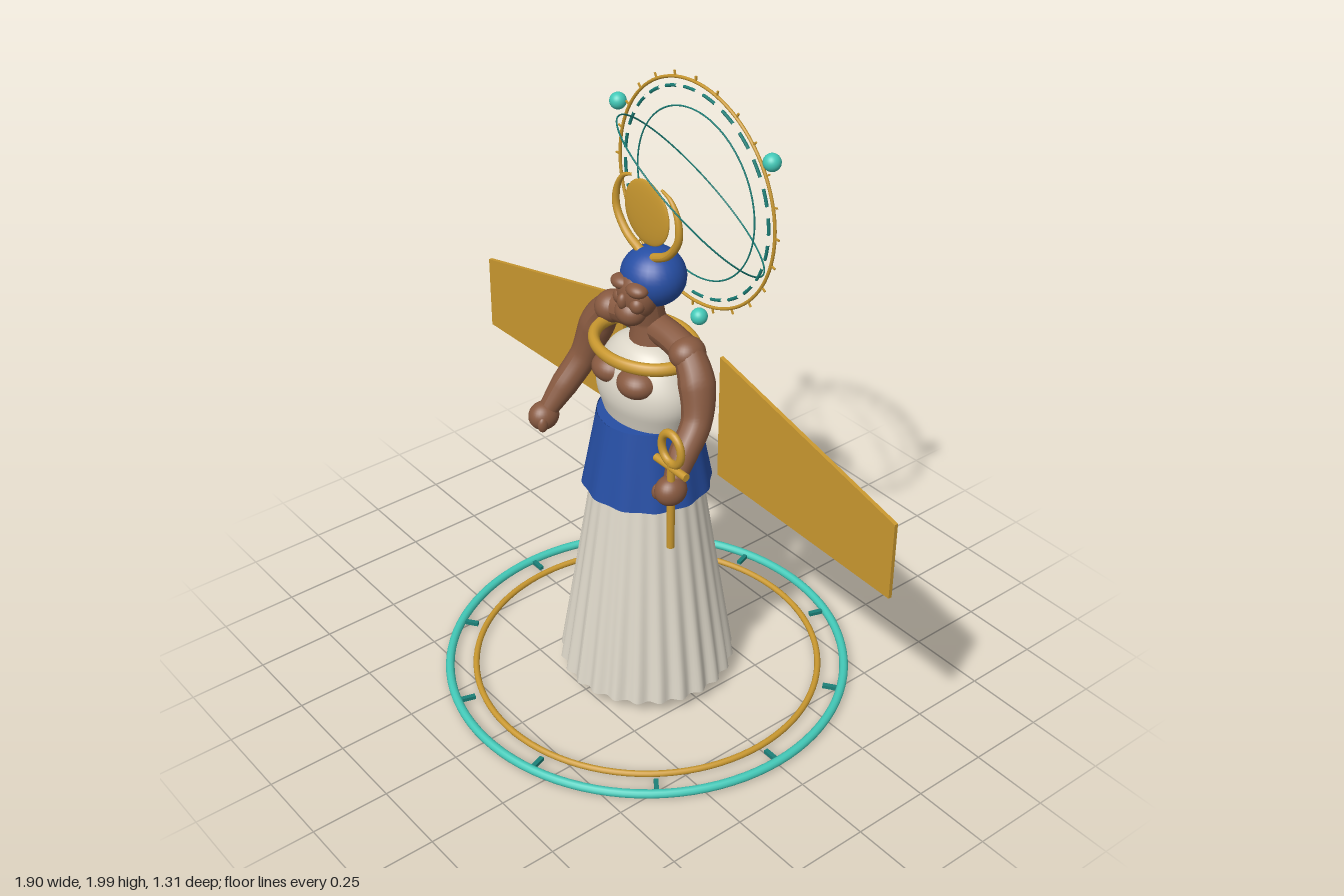
import * as THREE from 'three';

const mat = (name, color, side = THREE.FrontSide) => {
  const m = new THREE.MeshStandardMaterial({ color, side });
  m.name = name;
  return m;
};

export function createModel() {
  const gold = mat('gold', 0xc9982f);
  const blue = mat('royal blue', 0x264ea3, THREE.DoubleSide);
  const teal = mat('turquoise', 0x43c9b8);
  const deepTeal = mat('deep teal', 0x1c8078);
  const linen = mat('linen', 0xdcd6c8, THREE.DoubleSide);
  const skin = mat('skin', 0x875940);

  const root = new THREE.Group();
  root.name = 'wingedFigure';
  const V = (x, y, z) => new THREE.Vector3(x, y, z);

  const add = (name, geo, material, pos = [0, 0, 0], parent = root) => {
    const m = new THREE.Mesh(geo, material);
    m.name = name;
    m.position.set(...pos);
    parent.add(m);
    return m;
  };
  const group = (name, pos = [0, 0, 0]) => {
    const g = new THREE.Group();
    g.name = name;
    g.position.set(...pos);
    root.add(g);
    return g;
  };
  const ball = (name, material, pos, size, parent) => {
    const m = add(name, new THREE.SphereGeometry(1, 28, 20), material, pos, parent);
    m.scale.set(...size);
    return m;
  };

  // Tube whose radius follows a list of values along the path
  const limb = (name, points, radii, material, parent) => {
    const n = 32, sides = 16;
    const curve = new THREE.CatmullRomCurve3(points.map(p => V(...p)));
    const geo = new THREE.TubeGeometry(curve, n, 1, sides);
    const p = geo.attributes.position;
    for (let i = 0; i <= n; i++) {
      const c = curve.getPointAt(i / n);
      const t = (i / n) * (radii.length - 1);
      const k = Math.min(Math.floor(t), radii.length - 2);
      const r = THREE.MathUtils.lerp(radii[k], radii[k + 1], t - k);
      for (let j = 0; j <= sides; j++) {
        const id = i * (sides + 1) + j;
        const v = V(0, 0, 0).fromBufferAttribute(p, id).sub(c).multiplyScalar(r).add(c);
        p.setXYZ(id, v.x, v.y, v.z);
      }
    }
    geo.computeVertexNormals();
    return add(name, geo, material, [0, 0, 0], parent);
  };

  // Open cone with folds that deepen towards the hem
  const pleated = (name, rTop, rBottom, yTop, yBottom, folds, depth, material) => {
    const h = yTop - yBottom;
    const geo = new THREE.CylinderGeometry(rTop, rBottom, h, folds * 8, 10, true);
    const p = geo.attributes.position;
    for (let i = 0; i < p.count; i++) {
      const x = p.getX(i), y = p.getY(i), z = p.getZ(i);
      const down = 0.5 - y / h;
      const wave = Math.cos(folds * Math.atan2(x, z));
      const s = 1 + depth * (0.25 + 0.75 * down) * wave;
      p.setXYZ(i, x * s, y, z * s);
    }
    geo.computeVertexNormals();
    return add(name, geo, material, [0, (yTop + yBottom) / 2, 0]);
  };

  // Ground rings and spokes
  const base = group('groundRings', [0, 0.02, 0]);
  add('outerGroundRing', new THREE.TorusGeometry(0.64, 0.014, 12, 96), teal, [0, 0, 0], base).rotation.x = Math.PI / 2;
  add('innerGroundRing', new THREE.TorusGeometry(0.555, 0.01, 12, 96), gold, [0, 0, 0], base).rotation.x = Math.PI / 2;
  for (let i = 0; i < 10; i++) {
    const a = i * Math.PI / 5;
    const s = add('groundSpoke', new THREE.BoxGeometry(0.055, 0.012, 0.014), deepTeal,
      [Math.cos(a) * 0.61, 0, Math.sin(a) * 0.61], base);
    s.rotation.y = -a;
  }

  // Dress
  pleated('skirt', 0.165, 0.272, 0.77, 0.05, 24, 0.03, linen);
  pleated('waistWrap', 0.152, 0.198, 0.98, 0.73, 12, 0.018, blue);
  const profile = [[0.147, 0.95], [0.165, 1.0], [0.181, 1.05], [0.178, 1.1], [0.155, 1.15],
    [0.125, 1.19], [0.08, 1.22], [0, 1.235]].map(p => new THREE.Vector2(...p));
  add('bodice', new THREE.LatheGeometry(new THREE.SplineCurve(profile).getPoints(24), 48), linen).scale.z = 0.72;
  const waist = add('waistTop', new THREE.CircleGeometry(0.15, 48), blue, [0, 0.978, 0]);
  waist.rotation.x = -Math.PI / 2;

  // Chest, shoulders and neck
  for (const s of [1, -1]) ball('chest', skin, [s * 0.06, 1.13, 0.082], [0.064, 0.046, 0.062]);
  limb('shoulders', [[-0.18, 1.25, -0.01], [-0.08, 1.265, -0.015], [0.08, 1.265, -0.015], [0.18, 1.25, -0.01]],
    [0.045, 0.045, 0.045, 0.045], skin);
  limb('neck', [[0, 1.2, -0.02], [0, 1.28, -0.01], [0, 1.38, 0.01]], [0.075, 0.05, 0.05], skin);

  // Collar
  const collar = add('collar', new THREE.TorusGeometry(0.17, 0.02, 14, 64), gold, [0, 1.212, 0.008]);
  collar.rotation.x = Math.PI / 2;
  collar.scale.y = 0.8;

  // Head
  const head = group('head');
  ball('headCap', blue, [0, 1.425, -0.024], [0.1, 0.09, 0.096], head);
  ball('face', skin, [0, 1.385, 0.035], [0.068, 0.075, 0.056], head);
  ball('jaw', skin, [0, 1.335, 0.06], [0.05, 0.042, 0.045], head);
  ball('nose', skin, [0, 1.378, 0.088], [0.016, 0.026, 0.018], head);
  for (const s of [1, -1]) {
    ball('brow', skin, [s * 0.035, 1.42, 0.064], [0.037, 0.022, 0.03], head);
    ball('cheek', skin, [s * 0.038, 1.372, 0.065], [0.024, 0.026, 0.024], head);
  }

  // Sun disc and horns
  const crown = group('crown');
  ball('sunDisc', gold, [0, 1.632, 0], [0.1, 0.1, 0.011], crown);
  for (const s of [1, -1]) {
    limb('horn', [[s * 0.03, 1.5, 0], [s * 0.095, 1.535, 0], [s * 0.14, 1.6, 0], [s * 0.135, 1.665, 0],
      [s * 0.105, 1.71, 0], [s * 0.065, 1.727, 0]], [0.014, 0.013, 0.012, 0.011, 0.008, 0.004], gold, crown);
  }

  // Arms and hands
  for (const s of [1, -1]) {
    const arm = group(s > 0 ? 'leftArm' : 'rightArm');
    const hand = s > 0 ? [0.315, 0.925, 0.165] : [-0.303, 0.865, 0.165];
    const drop = s > 0 ? 0 : -0.045;
    limb('armLimb', [[s * 0.17, 1.262, -0.01], [s * 0.225, 1.19, 0], [s * 0.265, 1.08 + drop / 2, 0.03],
      [s * 0.287, 1.0 + drop, 0.1], hand], [0.046, 0.056, 0.046, 0.043, 0.028], skin, arm);
    ball('shoulderCap', skin, [s * 0.175, 1.25, -0.008], [0.052, 0.05, 0.056], arm);
    ball('hand', skin, hand, [0.044, 0.046, 0.05], arm);
    ball('thumb', skin, [hand[0] - s * 0.03, hand[1] - 0.01, hand[2] + 0.025], [0.014, 0.026, 0.018], arm);
  }

  // Looped staff in the left hand
  const staff = group('loopedStaff', [0.322, 0, 0.17]);
  add('staffShaft', new THREE.CylinderGeometry(0.012, 0.012, 0.3, 14), gold, [0, 0.88, 0], staff);
  add('staffBar', new THREE.CylinderGeometry(0.012, 0.012, 0.135, 14), gold, [0, 1.01, 0], staff).rotation.z = Math.PI / 2;
  add('staffLoop', new THREE.TorusGeometry(0.043, 0.012, 12, 32), gold, [0, 1.072, 0], staff).scale.y = 1.15;

  // Layered wings: outer x, inner bottom and top, outer bottom and top, depth
  const layers = [
    ['longFeathers', gold, 0.95, 0.82, 1.23, 0.8, 1.05, -0.1],
    ['middleFeathers', deepTeal, 0.84, 0.84, 1.17, 0.795, 0.99, -0.14],
    ['shortFeathers', blue, 0.7, 0.865, 1.11, 0.79, 0.92, -0.178],
  ];
  for (const s of [1, -1]) {
    const wing = group(s > 0 ? 'leftWing' : 'rightWing');
    for (const [name, m, x, ib, it, ob, ot, z] of layers) {
      const shape = new THREE.Shape([[0.226, ib], [x, ob], [x, ot], [0.226, it]]
        .map(([a, b]) => new THREE.Vector2(s * a, b)));
      add(name, new THREE.ExtrudeGeometry(shape, { depth: 0.012, bevelEnabled: false }), m, [0, 0, z], wing);
    }
  }

  // Halo: gold rim with ticks, dashed ring, inner ring, tilted ring and beads
  const halo = group('halo', [0, 1.635, -0.173]);
  add('haloRim', new THREE.TorusGeometry(0.344, 0.005, 8, 96), gold, [0, 0, 0], halo);
  add('haloInnerRing', new THREE.TorusGeometry(0.26, 0.0025, 6, 80), deepTeal, [0, 0, 0], halo);
  const tilted = add('tiltedRing', new THREE.TorusGeometry(0.306, 0.0025, 6, 80), deepTeal, [0, 0, 0.01], halo);
  tilted.quaternion.setFromUnitVectors(V(0, 0, 1), V(-0.38, -0.69, 0.62).normalize());
  for (let i = 0; i < 24; i++) {
    const a = i * Math.PI / 12;
    add('haloDash', new THREE.TorusGeometry(0.318, 0.005, 6, 6, 0.16), deepTeal, [0, 0, 0], halo).rotation.z = a;
    const tick = add('haloTick', new THREE.BoxGeometry(0.018, 0.005, 0.005), gold,
      [Math.cos(a) * 0.353, Math.sin(a) * 0.353, 0], halo);
    tick.rotation.z = a;
  }
  for (let i = 0; i < 3; i++) {
    const a = THREE.MathUtils.degToRad(34.5 + i * 120);
    ball('haloBead', teal, [Math.cos(a) * 0.39, Math.sin(a) * 0.39, 0], [0.026, 0.026, 0.026], halo);
  }

  return root;
}
